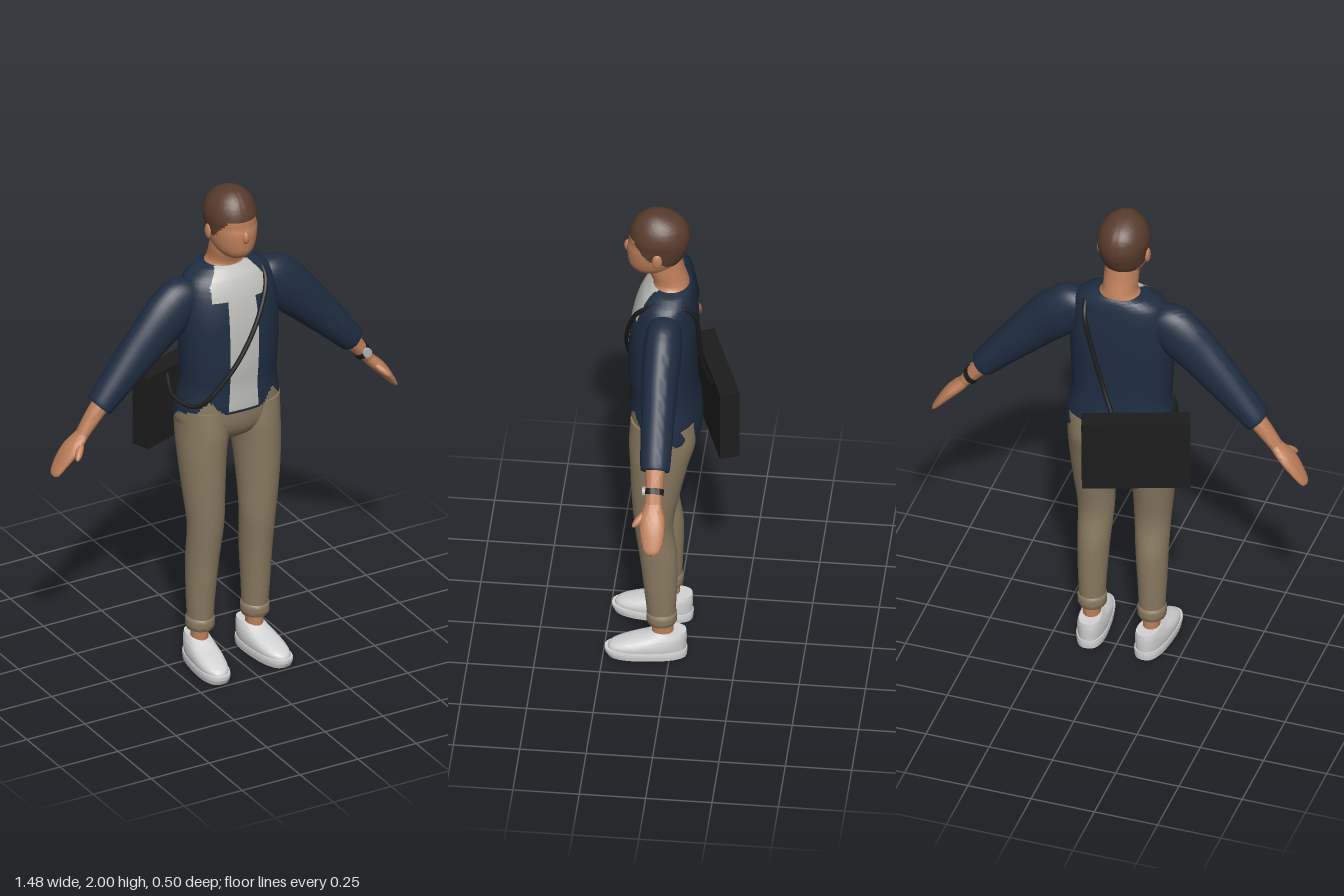
import * as THREE from 'three';
import { toCreasedNormals } from 'three/addons/utils/BufferGeometryUtils.js';

const flat = (name, color) => {
  const m = new THREE.MeshStandardMaterial({ color });
  m.name = name;
  return m;
};
const skin = flat('skin', 0xbd7f5a);
const hair = flat('hair', 0x583c2c);
const navy = flat('navy jacket', 0x1f2e42);
const shirt = flat('pale shirt', 0xbdbdb9);
const khaki = flat('khaki trousers', 0x8a7a61);
const white = flat('white shoe', 0xd3d3d3);
const black = flat('black leather', 0x1c1c1c);
const silver = flat('silver', 0xb4b4b4);

function add(parent, name, geometry, material, x = 0, y = 0, z = 0) {
  const mesh = new THREE.Mesh(geometry, material);
  mesh.name = name;
  mesh.position.set(x, y, z);
  parent.add(mesh);
  return mesh;
}

// Closed skin over rounded level sections, from the top down.
// Section: [y, centre x, half width, front z, back z].
// pick(x, y, z) gives the material number of each face.
function loft(sections, { cols = 32, rows = 32, power = 2, pick = () => 0, smooth = true } = {}) {
  const times = sections.map((_, i) => i);
  const Interp = smooth ? THREE.CubicInterpolant : THREE.LinearInterpolant;
  const spline = new Interp(times, sections.flat(), 5);
  const pos = [];
  const bend = (v) => Math.sign(v) * Math.abs(v) ** (2 / power);
  for (let i = 0; i <= rows; i++) {
    const [y, cx, hw, zf, zb] = spline.evaluate((i / rows) * (sections.length - 1));
    for (let j = 0; j < cols; j++) {
      const a = (j / cols) * Math.PI * 2;
      pos.push(cx + hw * bend(Math.cos(a)), y, (zf + zb) / 2 + ((zf - zb) / 2) * bend(Math.sin(a)));
    }
  }
  const caps = [sections[0], sections[sections.length - 1]];
  for (const [y, cx, , zf, zb] of caps) pos.push(cx, y, (zf + zb) / 2);

  const faces = [];
  const tri = (...ids) => {
    const mid = [0, 1, 2].map((k) => ids.reduce((sum, id) => sum + pos[id * 3 + k], 0) / 3);
    const m = pick(...mid);
    (faces[m] ??= []).push(...ids);
  };
  const top = (rows + 1) * cols;
  for (let j = 0; j < cols; j++) {
    const n = (j + 1) % cols;
    for (let i = 0; i < rows; i++) {
      const a = i * cols + j, b = i * cols + n;
      tri(a, b, a + cols);
      tri(b, b + cols, a + cols);
    }
    tri(top, n, j);
    tri(top + 1, rows * cols + j, rows * cols + n);
  }
  const g = new THREE.BufferGeometry();
  g.setAttribute('position', new THREE.Float32BufferAttribute(pos, 3));
  let start = 0;
  faces.forEach((f, m) => {
    g.addGroup(start, f.length, m);
    start += f.length;
  });
  g.setIndex(faces.flat());
  return toCreasedNormals(g, 0.9);
}

function buildHead(body) {
  const hairline = (x, y, z) => {
    const lerp = THREE.MathUtils.mapLinear;
    const line = z > 0.14 ? 1.895 : z > 0.09 ? lerp(z, 0.14, 0.09, 1.885, 1.83) : lerp(z, 0.09, -0.02, 1.83, 1.78);
    return y > line ? 1 : 0;
  };
  add(body, 'head', loft([
    [2.0, 0, 0.004, 0.07, 0.06], [1.993, 0, 0.034, 0.1, 0.025], [1.972, 0, 0.064, 0.13, -0.02],
    [1.94, 0, 0.087, 0.153, -0.05], [1.9, 0, 0.098, 0.166, -0.063], [1.868, 0, 0.096, 0.168, -0.063],
    [1.84, 0, 0.093, 0.174, -0.055], [1.8, 0, 0.086, 0.173, -0.038], [1.765, 0, 0.072, 0.167, -0.01],
    [1.74, 0, 0.05, 0.15, 0.03], [1.728, 0, 0.026, 0.128, 0.06],
  ], { cols: 64, rows: 56, pick: hairline }), [skin, hair]);
  add(body, 'nose', new THREE.SphereGeometry(1, 16, 12), skin, 0, 1.832, 0.168).scale.set(0.014, 0.026, 0.018);
  for (const s of [-1, 1]) {
    const ear = add(body, 'ear', new THREE.SphereGeometry(1, 16, 12), skin, s * 0.094, 1.832, 0.052);
    ear.scale.set(0.011, 0.031, 0.019);
  }
  add(body, 'neck', loft([
    [1.8, 0, 0.064, 0.11, -0.03], [1.74, 0, 0.066, 0.096, -0.043],
    [1.69, 0, 0.068, 0.077, -0.058], [1.665, 0, 0.088, 0.076, -0.062],
  ]), skin);
}

function buildTorso(body) {
  // Open jacket over a shirt, with the hem dropping from front to back
  const cloth = (x, y, z) => {
    const dx = Math.abs(x);
    const half = y > 1.56 ? 0.117 - Math.max(0, y - 1.62) * 0.8 : 0.061;
    if (z > 0.04 && dx < half && y > 1.1) return 1;
    const hem = z > 0.05
      ? 1.09 + 0.055 * Math.exp(-(((dx - 0.135) / 0.035) ** 2))
      : 0.985 + 0.105 * THREE.MathUtils.smoothstep(z, -0.1, 0.05);
    return y > hem ? 0 : 2;
  };
  add(body, 'torso', loft([
    [1.675, 0, 0.1, 0.077, -0.062], [1.665, 0, 0.125, 0.088, -0.07], [1.63, 0, 0.17, 0.117, -0.08],
    [1.56, 0, 0.19, 0.145, -0.09], [1.45, 0, 0.2, 0.164, -0.095], [1.3, 0, 0.196, 0.167, -0.09],
    [1.2, 0, 0.192, 0.16, -0.092], [1.1, 0, 0.208, 0.159, -0.105], [1.03, 0, 0.204, 0.15, -0.11],
    [0.98, 0, 0.15, 0.125, -0.095], [0.945, 0, 0.045, 0.08, -0.03],
  ], { cols: 120, rows: 80, power: 2.3, pick: cloth }), [navy, shirt, khaki]);
}

function buildLeg(body, s) {
  add(body, 'trouserLeg', loft([
    [1.1, s * 0.108, 0.098, 0.15, -0.09], [1.0, s * 0.11, 0.097, 0.156, -0.094],
    [0.9, s * 0.117, 0.09, 0.152, -0.068], [0.75, s * 0.117, 0.08, 0.146, -0.035],
    [0.6, s * 0.112, 0.07, 0.135, -0.01], [0.45, s * 0.115, 0.062, 0.115, -0.027],
    [0.3, s * 0.118, 0.055, 0.098, -0.025], [0.18, s * 0.118, 0.049, 0.085, -0.019],
  ], { rows: 40 }), khaki);
  add(body, 'trouserCuff', loft([
    [0.203, s * 0.118, 0.05, 0.084, -0.02], [0.195, s * 0.118, 0.055, 0.09, -0.025],
    [0.16, s * 0.118, 0.055, 0.09, -0.025], [0.15, s * 0.118, 0.05, 0.085, -0.02],
  ], { rows: 9, smooth: false }), khaki);
  add(body, 'ankle', loft([
    [0.18, s * 0.118, 0.031, 0.068, -0.01], [0.08, s * 0.118, 0.033, 0.068, -0.013],
  ], { rows: 2, smooth: false }), skin);

  // Shoe turned slightly outwards about the ankle
  const shoe = new THREE.Group();
  shoe.name = 'shoe';
  shoe.position.set(s * 0.118, 0, 0.03);
  shoe.rotation.y = s * 0.1;
  body.add(shoe);
  add(shoe, 'shoeSole', loft([
    [0.034, 0, 0.059, 0.216, -0.094], [0.024, 0, 0.061, 0.217, -0.095], [0, 0, 0.058, 0.205, -0.093],
  ], { rows: 4, power: 2.6, smooth: false }), white);
  add(shoe, 'shoeUpper', loft([
    [0.11, 0, 0.041, 0.03, -0.09], [0.09, 0, 0.049, 0.075, -0.092], [0.07, 0, 0.055, 0.145, -0.092],
    [0.05, 0, 0.058, 0.195, -0.091], [0.028, 0, 0.056, 0.207, -0.09],
  ], { rows: 16, power: 2.4 }), white);
}

function buildArm(body, s) {
  // Built hanging straight down, then swung out from the shoulder
  const arm = new THREE.Group();
  arm.name = 'arm';
  arm.position.set(s * 0.195, 1.54, 0);
  arm.rotation.z = s * Math.PI / 4;
  body.add(arm);
  add(arm, 'sleeve', loft([
    [0.095, 0, 0.02, 0.04, 0], [0.07, s * 0.005, 0.062, 0.07, -0.035], [0.02, s * 0.01, 0.09, 0.085, -0.05],
    [-0.06, s * 0.012, 0.098, 0.09, -0.055], [-0.15, s * 0.013, 0.09, 0.088, -0.05],
    [-0.25, s * 0.011, 0.08, 0.082, -0.048], [-0.38, s * 0.006, 0.065, 0.076, -0.045],
    [-0.485, 0, 0.053, 0.069, -0.042], [-0.493, 0, 0.045, 0.06, -0.034],
  ], { rows: 40 }), navy);
  add(arm, 'forearm', loft([
    [-0.45, 0, 0.035, 0.052, -0.026], [-0.54, s * -0.01, 0.031, 0.047, -0.022],
    [-0.63, s * -0.023, 0.021, 0.043, -0.017],
  ], { rows: 10 }), skin);
  add(arm, 'hand', loft([
    [-0.6, s * -0.02, 0.02, 0.04, -0.015], [-0.635, s * -0.023, 0.023, 0.049, -0.025],
    [-0.68, s * -0.023, 0.024, 0.058, -0.036], [-0.72, s * -0.026, 0.021, 0.056, -0.037],
    [-0.76, s * -0.032, 0.016, 0.047, -0.033], [-0.795, s * -0.038, 0.01, 0.036, -0.022],
    [-0.807, s * -0.039, 0.004, 0.022, -0.008],
  ], { rows: 24 }), skin);
  const thumb = add(arm, 'thumb', new THREE.SphereGeometry(1, 16, 12), skin, s * -0.026, -0.673, 0.058);
  thumb.scale.set(0.014, 0.044, 0.015);
  thumb.rotation.x = -0.65;

  // Watch on the left wrist
  if (s > 0) {
    add(arm, 'watchStrap', loft([
      [-0.56, -0.014, 0.034, 0.05, -0.025], [-0.582, -0.016, 0.033, 0.049, -0.024],
    ], { rows: 2, smooth: false }), black);
    const dial = add(arm, 'watchFace', new THREE.CylinderGeometry(0.018, 0.018, 0.012, 24), silver, -0.008, -0.571, 0.05);
    dial.rotation.x = Math.PI / 2;
  }
}

function buildBag(model) {
  const bag = add(model, 'bag', new THREE.BoxGeometry(0.406, 0.3, 0.076), black, -0.128, 1.06, -0.152);
  bag.rotation.y = 0.34;
  const path = [
    [-0.2, 1.19, -0.1], [-0.226, 1.14, 0], [-0.185, 1.135, 0.115], [-0.095, 1.245, 0.164],
    [-0.011, 1.37, 0.175], [0.063, 1.51, 0.158], [0.107, 1.61, 0.114], [0.112, 1.655, 0.02],
    [0.1, 1.61, -0.083], [0.06, 1.45, -0.105], [0.015, 1.3, -0.115], [-0.03, 1.19, -0.14],
  ].map((p) => new THREE.Vector3(...p));
  add(model, 'bagStrap', new THREE.TubeGeometry(new THREE.CatmullRomCurve3(path), 96, 0.009, 8), black);
}

export function createModel() {
  const model = new THREE.Group();
  model.name = 'standingPerson';
  const body = new THREE.Group();
  body.name = 'body';
  body.position.x = -0.011;
  model.add(body);
  buildHead(body);
  buildTorso(body);
  for (const s of [-1, 1]) {
    buildLeg(body, s);
    buildArm(body, s);
  }
  buildBag(model);
  return model;
}
